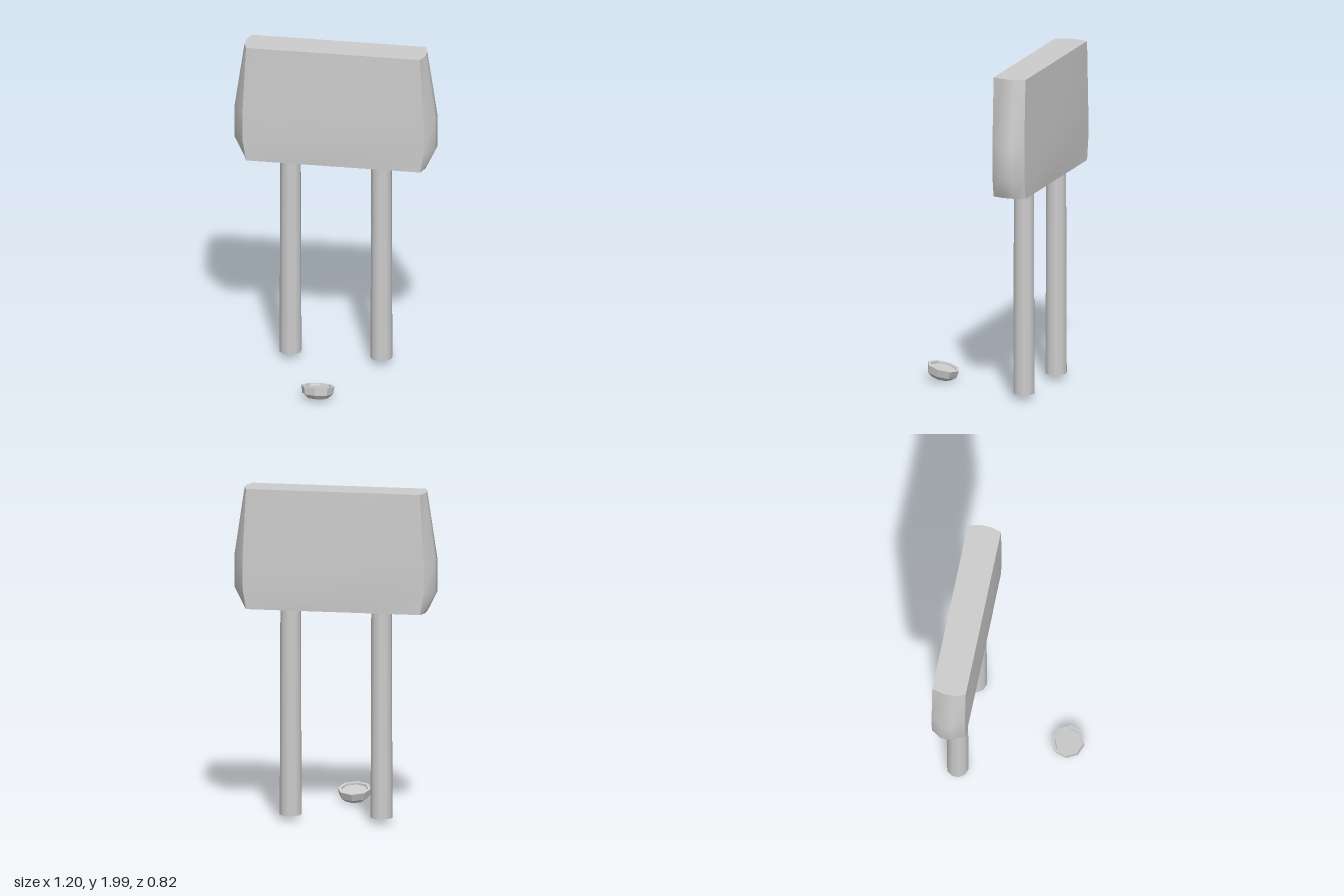
import * as THREE from 'three';

const metal = new THREE.MeshStandardMaterial({ color: 0xcccccc, side: THREE.DoubleSide });
metal.name = 'lightGrey';

function part(name, geometry) {
  const mesh = new THREE.Mesh(geometry, metal);
  mesh.name = name;
  return mesh;
}

// Smooth skin joining rows of points; each row runs left to right seen from outside, rows go upwards
function skin(rows) {
  const n = rows[0].length, index = [];
  for (let r = 0; r < rows.length - 1; r++) {
    for (let i = 0; i < n - 1; i++) {
      const a = r * n + i, b = a + 1, c = b + n, d = a + n;
      index.push(a, b, c, a, c, d);
    }
  }
  const g = new THREE.BufferGeometry();
  g.setAttribute('position', new THREE.Float32BufferAttribute(rows.flat(2), 3));
  g.setIndex(index);
  g.computeVertexNormals();
  return g;
}

// Heights of the board: [y, corner x, end x, middle z, corner z]
const levels = [
  [1.28, 0.52, 0.54, 0.1, 0.1],
  [1.4, 0.54, 0.6, 0.11, 0.1],
  [1.6, 0.54, 0.6, 0.11, 0.1],
  [2.0, 0.52, 0.54, 0.1, 0.1],
];

function createBoard() {
  const board = new THREE.Group();
  board.name = 'board';

  // Bulging faces and rounded ends, each made once and turned round for the other side
  const face = skin(levels.map(([y, xc, , zm, zc]) =>
    [[-xc, y, zc], [-0.23, y, zm], [0.23, y, zm], [xc, y, zc]]));
  const end = skin(levels.map(([y, xc, xe, , zc]) =>
    [[xc, y, zc], [xe, y, 0.035], [xe, y, -0.035], [xc, y, -zc]]));
  for (const turn of [0, Math.PI]) {
    const f = part(turn ? 'boardBack' : 'boardFront', face);
    const e = part(turn ? 'rightEnd' : 'leftEnd', end);
    f.rotation.y = e.rotation.y = turn;
    board.add(f, e);
  }

  // Flat top and bottom
  for (const [name, level, tilt] of [['boardTop', levels[3], -1], ['boardBottom', levels[0], 1]]) {
    const [y, xc, xe, , zc] = level;
    const outline = new THREE.Shape([
      [xc, zc], [-xc, zc], [-xe, 0.035], [-xe, -0.035],
      [-xc, -zc], [xc, -zc], [xe, -0.035], [xe, 0.035],
    ].map(([x, z]) => new THREE.Vector2(x, z)));
    const cap = part(name, new THREE.ShapeGeometry(outline));
    cap.rotation.x = tilt * Math.PI / 2;
    cap.position.y = y;
    board.add(cap);
  }
  board.position.z = -0.297;
  return board;
}

// Bowl lamp with a recessed lens, open underneath
function createLamp() {
  const profile = [[0.062, -0.07], [0.092, -0.045], [0.1, 0], [0.081, 0], [0.079, -0.012], [0, -0.012]]
    .map(([r, y]) => new THREE.Vector2(r, y));
  const g = new THREE.LatheGeometry(profile, 8).toNonIndexed();
  g.computeVertexNormals();
  const lamp = part('lamp', g);
  lamp.position.set(0, 0.09, 0.31);
  lamp.rotation.x = -0.23;
  return lamp;
}

export function createModel() {
  const model = new THREE.Group();
  model.name = 'billboard';
  model.add(createBoard(), createLamp());

  // Hollow posts
  const post = new THREE.CylinderGeometry(0.061, 0.065, 1.24, 10, 1, true);
  for (const side of [-1, 1]) {
    const leg = part(side < 0 ? 'rightPost' : 'leftPost', post);
    leg.position.set(side * 0.272, 0.66, -0.295);
    model.add(leg);
  }
  return model;
}
